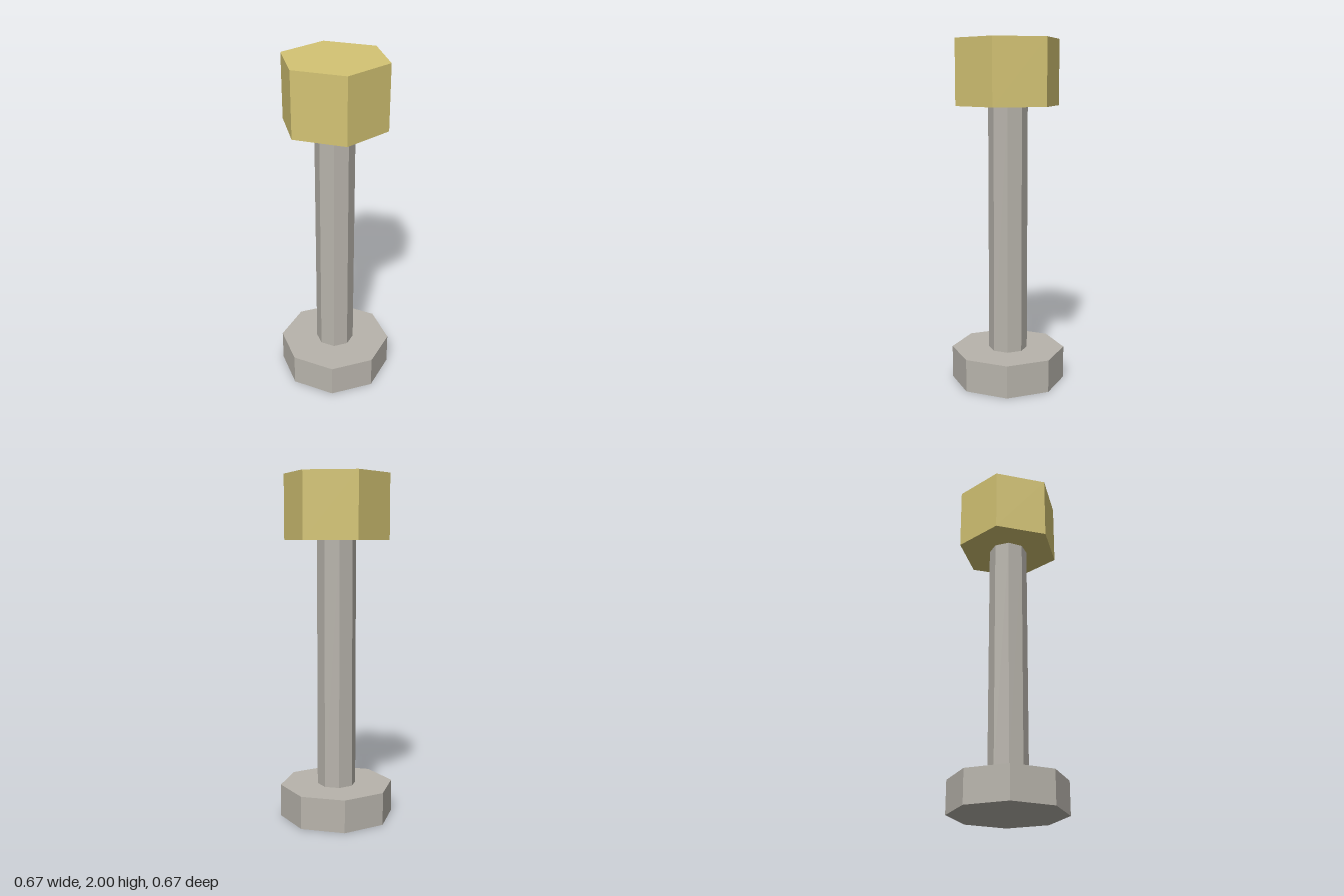
import * as THREE from 'three';

const stone = new THREE.MeshStandardMaterial({ color: 0xb8b4ac, flatShading: true });
stone.name = 'warm grey';
const gold = new THREE.MeshStandardMaterial({ color: 0xd4c474, flatShading: true });
gold.name = 'pale gold';

// Upright prism from y = bottom to y = top, with one corner facing the front
function prism(name, radius, sides, bottom, top, material) {
  const height = top - bottom;
  const mesh = new THREE.Mesh(new THREE.CylinderGeometry(radius, radius, height, sides), material);
  mesh.name = name;
  mesh.position.y = bottom + height / 2;
  return mesh;
}

export function createModel() {
  const model = new THREE.Group();
  model.name = 'post';
  model.add(
    prism('base', 0.333, 8, 0, 0.19, stone),
    prism('shaft', 0.113, 8, 0.19, 1.625, stone),
    prism('head', 0.304, 6, 1.625, 2, gold),
  );
  return model;
}
